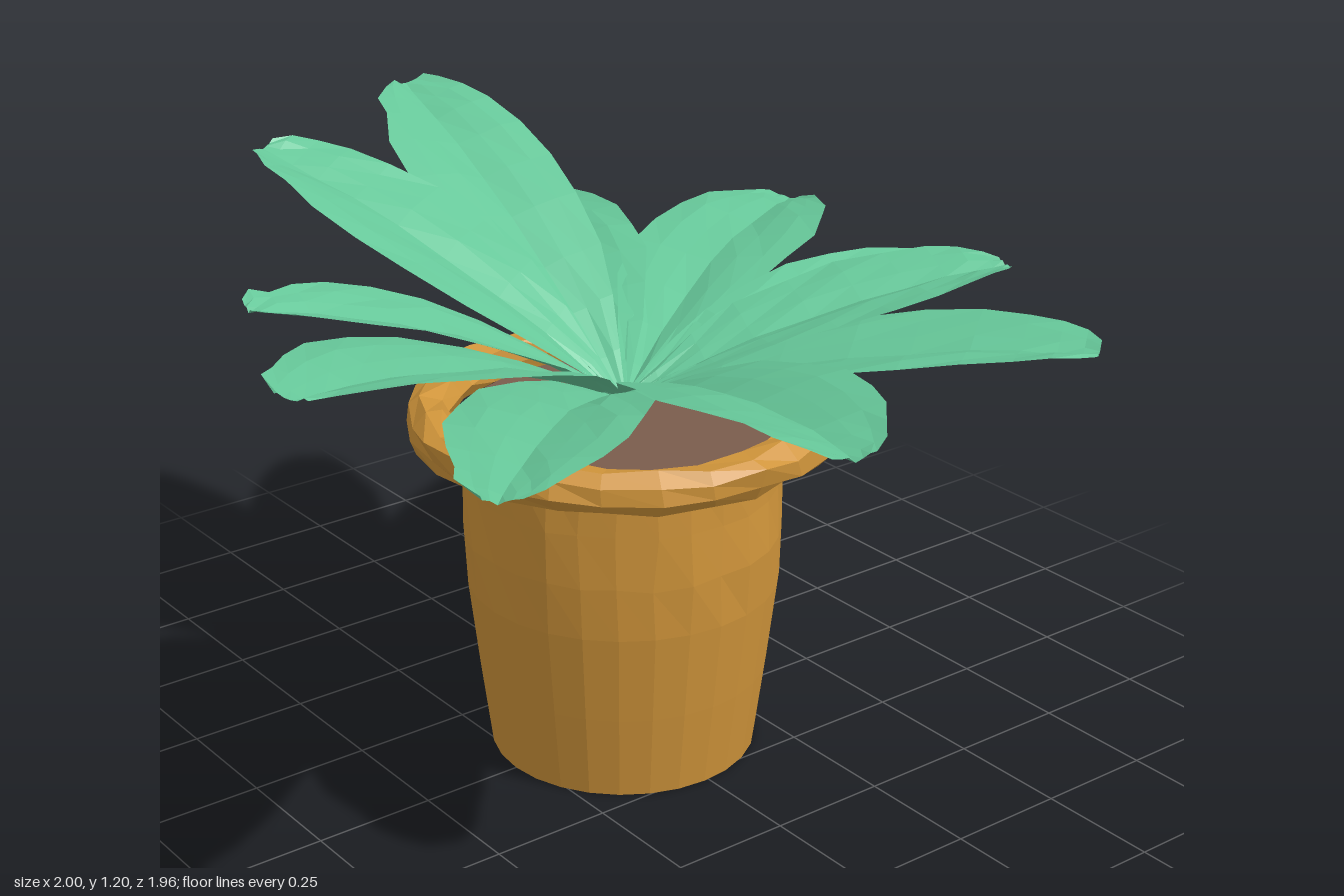
import * as THREE from 'three';

const CX = -0.01;
const clay = new THREE.MeshStandardMaterial({ color: 0xcf943a, flatShading: true, side: THREE.DoubleSide });
const earth = new THREE.MeshStandardMaterial({ color: 0x7a5c4c, flatShading: true });
const green = new THREE.MeshStandardMaterial({ color: 0x66c799, flatShading: true, side: THREE.DoubleSide });

// Repeatable noise in -1..1 from a position, so coincident vertices move together
function noise(x, y, z, k) {
  const r = (v) => Math.round(v * 1000);
  const s = Math.sin(r(x) * 12.9898 + r(y) * 78.233 + r(z) * 37.719 + k * 11.3) * 43758.5453;
  return (s - Math.floor(s)) * 2 - 1;
}

// Shift vertices a little for a hand-made surface
function roughen(geo, amountAt) {
  const p = geo.attributes.position;
  for (let i = 0; i < p.count; i++) {
    const [x, y, z] = [p.getX(i), p.getY(i), p.getZ(i)];
    const a = amountAt(y);
    p.setXYZ(i, x + a * noise(x, y, z, 1), y + a * noise(x, y, z, 2), z + a * noise(x, y, z, 3));
  }
  geo.computeVertexNormals();
  return geo;
}

function add(group, name, geo, mat) {
  const mesh = new THREE.Mesh(geo, mat);
  mesh.name = name;
  group.add(mesh);
  return mesh;
}

const lathe = (pts, n) => new THREE.LatheGeometry(pts.map(([r, y]) => new THREE.Vector2(r, y)), n);

// Half width along the leaf as a share of its widest point
const OUTLINE = [[0, 0.04], [0.1, 0.27], [0.22, 0.55], [0.35, 0.8], [0.5, 0.97], [0.63, 1],
  [0.75, 0.92], [0.85, 0.76], [0.92, 0.58], [0.97, 0.41], [1, 0.22]];

// Arching leaf with a shallow V fold along its midrib
function leafGeometry(tipX, tipZ, tipY, bendY, halfWidth, seed) {
  const curve = new THREE.QuadraticBezierCurve3(
    new THREE.Vector3(CX, 0.745, 0),
    new THREE.Vector3(CX + (tipX - CX) * 0.47, bendY, tipZ * 0.47),
    new THREE.Vector3(tipX, tipY, tipZ));
  const side = new THREE.Vector3(-tipZ, 0, tipX - CX).normalize();
  const across = 6, rows = OUTLINE.length;
  const pos = [], index = [];
  OUTLINE.forEach(([t, share], r) => {
    const c = curve.getPoint(t);
    for (let j = 0; j <= across; j++) {
      const s = (j / across) * 2 - 1;
      const edge = Math.abs(s) === 1 && r > 2 ? 0.012 * noise(r, j, seed, 4) : 0;
      const w = s * (halfWidth * share + edge);
      const lift = 0.36 * Math.abs(w) - 1.0 * w * w + 0.004 * noise(r, j, seed, 5);
      pos.push(c.x + side.x * w, c.y + lift, c.z + side.z * w);
      if (r < rows - 1 && j < across) {
        const a = r * (across + 1) + j, b = a + across + 1;
        index.push(a, a + 1, b, a + 1, b + 1, b);
      }
    }
  });
  const geo = new THREE.BufferGeometry();
  geo.setAttribute('position', new THREE.Float32BufferAttribute(pos, 3));
  geo.setIndex(index);
  // Faces point upward
  geo.computeVertexNormals();
  if (geo.attributes.normal.getY(30) < 0) {
    geo.setIndex(index.slice().reverse());
    geo.computeVertexNormals();
  }
  return geo;
}

export function createModel() {
  const model = new THREE.Group();
  model.name = 'pottedPlant';

  // Pot: tapered foot with a straight, slightly dented upper band
  const pot = new THREE.Group();
  pot.name = 'pot';
  pot.position.x = CX;
  model.add(pot);
  add(pot, 'potBody', roughen(
    lathe([[0, 0], [0.275, 0], [0.298, 0.18], [0.32, 0.37], [0.324, 0.48], [0.322, 0.59], [0.32, 0.7]], 28),
    (y) => (y > 0.4 && y < 0.65 ? 0.006 : 0)), clay);

  // Rim: lumpy ring standing just clear of the wall
  add(pot, 'rim', roughen(
    lathe([[0.35, 0.69], [0.415, 0.683], [0.432, 0.71], [0.43, 0.742], [0.405, 0.763],
      [0.36, 0.758], [0.34, 0.725], [0.35, 0.69]], 26), () => 0.009), clay);

  // Soil
  const soil = add(pot, 'soil', new THREE.CylinderGeometry(0.317, 0.317, 0.02, 28), earth);
  soil.position.y = 0.705;

  // Leaves: tip x, tip z, tip height, bend height, half width
  const leaves = new THREE.Group();
  leaves.name = 'leaves';
  model.add(leaves);
  [
    [0.08, -0.91, 1.18, 1.04, 0.17],
    [0.43, -0.97, 0.84, 0.91, 0.17],
    [0.97, -0.64, 0.81, 0.92, 0.18],
    [0.85, 0.0, 0.86, 0.88, 0.125],
    [0.77, 0.27, 0.94, 0.91, 0.15],
    [0.55, 0.74, 0.94, 0.92, 0.17],
    [-0.27, 0.97, 1.02, 1.01, 0.18],
    [-0.83, 0.76, 1.02, 1.0, 0.17],
    [-0.985, 0.4, 1.115, 1.03, 0.185],
    [-0.76, -0.14, 1.06, 0.99, 0.14],
    [-0.39, -0.72, 1.16, 1.02, 0.17],
  ].forEach((leaf, i) => add(leaves, `leaf${i + 1}`, leafGeometry(...leaf, i + 1), green));

  return model;
}
